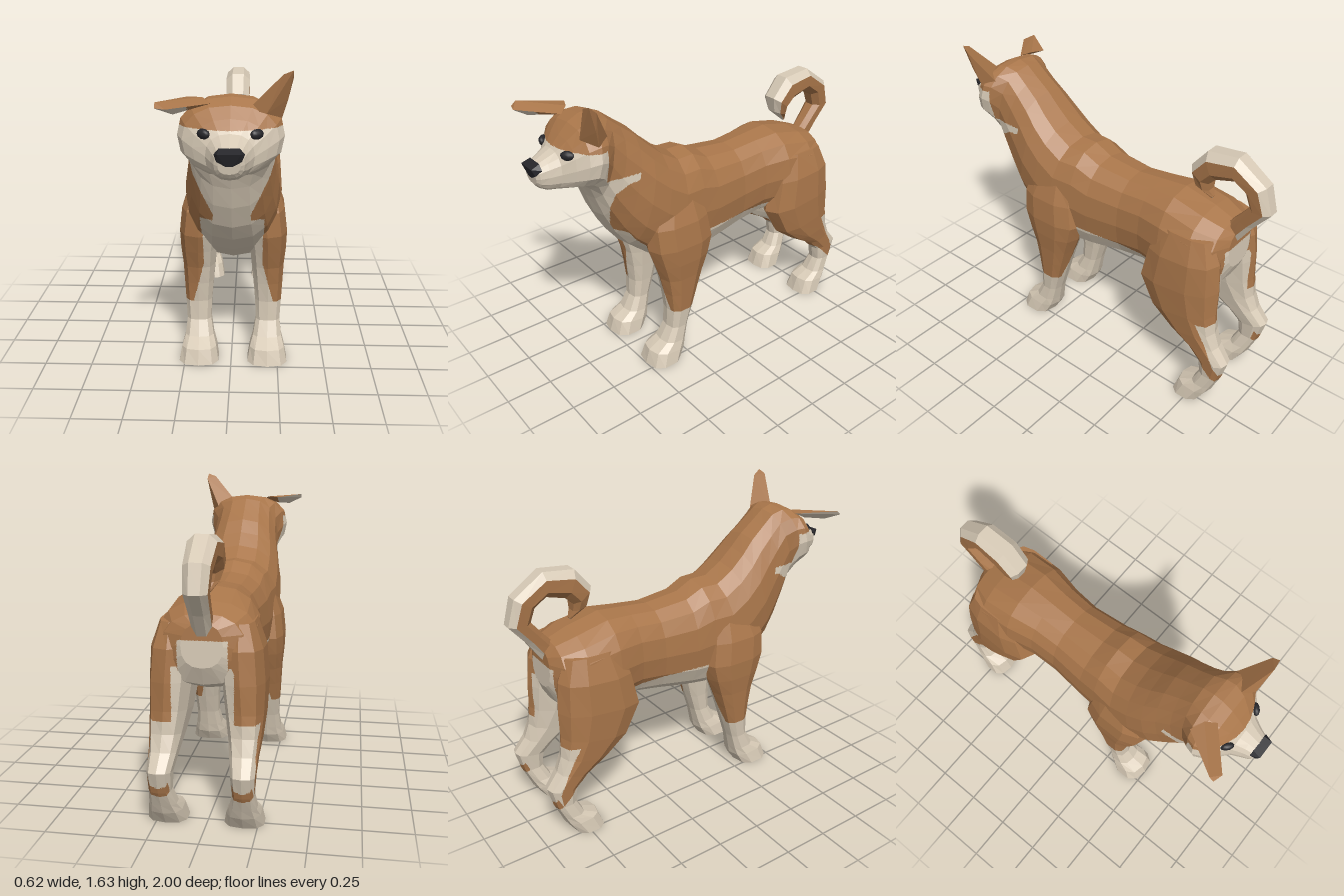
import * as THREE from 'three';
import { ConvexGeometry } from 'three/addons/geometries/ConvexGeometry.js';

const mat = (name, color) => Object.assign(new THREE.MeshStandardMaterial({ color }), { name });
const V = (x, y, z) => new THREE.Vector3(x, y, z);

export function createModel() {
  const brown = mat('brown coat', 0xa9764a);
  const cream = mat('cream coat', 0xd6c9b5);
  const black = mat('black', 0x26262a);
  const coat = [brown, cream];
  const model = new THREE.Group();
  model.name = 'dog';
  const dog = new THREE.Group();
  dog.name = 'dogParts';
  dog.position.x = 0.01;
  model.add(dog);

  // Faceted mesh from triangles; facets crossing a coat border are split until the border is neat
  function coatMesh(name, tris, isCream) {
    const out = [[], []];
    const emit = (a, b, c, tag, n, depth) => {
      const mid = a.clone().add(b).add(c).divideScalar(3);
      const k = isCream(mid, tag, n) ? 1 : 0;
      const mixed = [a, b, c].some(p => (isCream(p, tag, n) ? 1 : 0) !== k);
      if (!mixed || depth === 0) {
        for (const p of [a, b, c]) out[k].push(p.x, p.y, p.z);
        return;
      }
      const ab = a.clone().lerp(b, 0.5), bc = b.clone().lerp(c, 0.5), ca = c.clone().lerp(a, 0.5);
      emit(a, ab, ca, tag, n, depth - 1);
      emit(ab, b, bc, tag, n, depth - 1);
      emit(ca, bc, c, tag, n, depth - 1);
      emit(ab, bc, ca, tag, n, depth - 1);
    };
    for (const [a, b, c, tag] of tris) {
      const n = b.clone().sub(a).cross(c.clone().sub(a)).normalize();
      emit(a, b, c, tag, n, 4);
    }
    const geo = new THREE.BufferGeometry();
    geo.setAttribute('position', new THREE.Float32BufferAttribute([...out[0], ...out[1]], 3));
    geo.addGroup(0, out[0].length / 3, 0);
    geo.addGroup(out[0].length / 3, out[1].length / 3, 1);
    geo.computeVertexNormals();
    const mesh = new THREE.Mesh(geo, coat);
    mesh.name = name;
    dog.add(mesh);
  }

  // Closed skin over rings; a row is [z1, y1, z2, y2, centre x, half width]
  function loft(rows, sides, power = 0.85, turn = 0) {
    const soft = v => Math.sign(v) * Math.abs(v) ** power;
    const rings = rows.map(([z1, y1, z2, y2, xc, w]) => Array.from({ length: sides }, (_, j) => {
      const a = (j + turn) / sides * Math.PI * 2, u = soft(Math.cos(a)) / 2;
      return V(xc + w * soft(Math.sin(a)), (y1 + y2) / 2 + u * (y1 - y2), (z1 + z2) / 2 + u * (z1 - z2));
    }));
    const tris = [];
    for (let i = 0; i < rings.length - 1; i++) for (let j = 0; j < sides; j++) {
      const k = (j + 1) % sides, [p, q] = [rings[i], rings[i + 1]];
      tris.push([p[j], p[k], q[k], j], [p[j], q[k], q[j], j]);
    }
    for (const [ring, end] of [[rings[0], 0], [rings[rings.length - 1], 1]]) {
      const c = ring.reduce((s, p) => s.add(p), V(0, 0, 0)).divideScalar(sides);
      ring.forEach((p, j) => {
        const q = ring[(j + 1) % sides];
        tris.push(end ? [c, p, q, j] : [c, q, p, j]);
      });
    }
    // Turn the skin outward
    const volume = tris.reduce((s, [a, b, c]) => s + a.dot(b.clone().cross(c)), 0);
    return volume > 0 ? tris : tris.map(([a, b, c, t]) => [a, c, b, t]);
  }

  // Rump, trunk, neck, head and muzzle: top z, y, bottom z, y, half width
  const body = [
    [-0.83, 1.01, -0.84, 0.80, 0.10], [-0.79, 1.05, -0.80, 0.71, 0.20],
    [-0.68, 1.09, -0.68, 0.66, 0.255], [-0.50, 1.13, -0.50, 0.63, 0.245],
    [-0.35, 1.115, -0.35, 0.63, 0.21], [-0.20, 1.10, -0.20, 0.60, 0.20],
    [0.00, 1.12, 0.00, 0.56, 0.22], [0.10, 1.17, 0.13, 0.54, 0.23],
    [0.20, 1.17, 0.30, 0.56, 0.245], [0.30, 1.23, 0.42, 0.645, 0.245],
    [0.38, 1.30, 0.53, 0.74, 0.235], [0.45, 1.37, 0.60, 0.83, 0.215],
    [0.53, 1.43, 0.66, 0.95, 0.20], [0.60, 1.485, 0.70, 1.06, 0.195],
    [0.66, 1.505, 0.73, 1.13, 0.23], [0.71, 1.50, 0.76, 1.16, 0.245],
    [0.77, 1.47, 0.80, 1.165, 0.22], [0.82, 1.42, 0.84, 1.165, 0.17],
    [0.87, 1.365, 0.88, 1.165, 0.11], [0.92, 1.34, 0.925, 1.17, 0.085],
    [0.97, 1.315, 0.96, 1.19, 0.068], [0.985, 1.29, 0.975, 1.21, 0.05],
  ].map(([a, b, c, d, w]) => [a, b, c, d, 0, w]);
  coatMesh('bodyAndHead', loft(body, 16), p => {
    const x = Math.abs(p.x);
    if (p.z > 0.69 && p.y > 1.1) return p.y < 1.375;
    if (p.z > 0.45 && p.y < 1.2 && p.y > 0.87) return x < 0.075 + (p.y - 0.87) * 0.45;
    if (p.z > 0.3 && p.y <= 0.87) return x < 0.16 || p.y < 0.65;
    if (p.z < -0.79) return x < 0.12 && p.y < 0.93;
    return p.y < 0.73 && p.z < 0.45;
  });

  // Legs: front z, y, back z, y, inner x, outer x
  const frontLeg = [
    [0.40, 0.98, 0.12, 0.98, 0.10, 0.225], [0.46, 0.85, 0.08, 0.85, 0.06, 0.272],
    [0.455, 0.72, 0.06, 0.72, 0.07, 0.287], [0.42, 0.62, 0.09, 0.62, 0.085, 0.283],
    [0.385, 0.52, 0.13, 0.52, 0.095, 0.273], [0.365, 0.42, 0.165, 0.42, 0.105, 0.268],
    [0.35, 0.31, 0.20, 0.31, 0.115, 0.262], [0.355, 0.20, 0.235, 0.20, 0.12, 0.255],
    [0.40, 0.12, 0.255, 0.11, 0.105, 0.265], [0.475, 0.08, 0.265, 0.06, 0.088, 0.28],
    [0.50, 0, 0.30, 0, 0.075, 0.295],
  ];
  const hindLeg = [
    [-0.48, 1.0, -0.78, 1.0, 0.10, 0.23], [-0.42, 0.85, -0.83, 0.88, 0.06, 0.275],
    [-0.38, 0.67, -0.845, 0.72, 0.07, 0.287], [-0.47, 0.51, -0.845, 0.58, 0.09, 0.283],
    [-0.60, 0.415, -0.855, 0.47, 0.11, 0.275], [-0.72, 0.345, -0.885, 0.39, 0.125, 0.265],
    [-0.785, 0.28, -0.95, 0.31, 0.14, 0.26], [-0.80, 0.20, -0.92, 0.20, 0.145, 0.255],
    [-0.76, 0.12, -0.885, 0.12, 0.125, 0.265], [-0.68, 0.085, -0.865, 0.07, 0.105, 0.28],
    [-0.65, 0, -0.82, 0, 0.09, 0.292],
  ];
  const frontCream = p => p.y < 0.31 || Math.abs(p.x) < 0.155 + Math.max(0, 0.55 - p.y) * 0.25;
  const hindCream = p => p.y < Math.min(0.31, 1.09 + p.z)
    || (Math.abs(p.x) < 0.15 && p.y < 0.8)
    || (p.y < 0.53 && p.z < -0.78 - (0.52 - p.y) * 0.5);
  for (const [side, s] of [['left', 1], ['right', -1]]) {
    const place = rows => rows.map(([a, b, c, d, i, o]) => [a, b, c, d, s * (i + o) / 2, (o - i) / 2]);
    coatMesh(side + 'FrontLeg', loft(place(frontLeg), 10, 0.75), frontCream);
    coatMesh(side + 'HindLeg', loft(place(hindLeg), 10, 0.75), hindCream);

    // Eye
    const eye = new THREE.Mesh(new THREE.SphereGeometry(1, 10, 6), black);
    eye.name = side + 'Eye';
    eye.scale.set(0.036, 0.024, 0.02);
    eye.position.set(s * 0.118, 1.358, 0.845);
    eye.rotation.y = s * 0.7;
    dog.add(eye);
  }

  // Curled tail, cream along the outside: outer z, y, inner z, y, half width
  const tail = [
    [-0.83, 0.94, -0.75, 1.02, 0.05], [-0.91, 1.06, -0.82, 1.10, 0.055],
    [-1.0, 1.17, -0.875, 1.17, 0.06], [-0.96, 1.31, -0.85, 1.24, 0.068],
    [-0.80, 1.42, -0.79, 1.28, 0.075], [-0.63, 1.40, -0.69, 1.25, 0.08],
    [-0.54, 1.29, -0.65, 1.21, 0.075], [-0.56, 1.20, -0.65, 1.17, 0.055],
    [-0.655, 1.12, -0.665, 1.135, 0.012],
  ].map(([a, b, c, d, w]) => [a, b, c, d, 0, w]);
  coatMesh('tail', loft(tail, 8, 0.85, 0.5), (p, j) => j === 7 || j === 0 || j === 6);

  // Ears: one upright, one folded outward with a pale underside
  const hull = pts => new ConvexGeometry(pts.map(p => V(...p)));
  function ear(name, pts, isCream) {
    const pos = hull(pts).attributes.position, tris = [];
    const at = i => V(0, 0, 0).fromBufferAttribute(pos, i);
    for (let i = 0; i < pos.count; i += 3) tris.push([at(i), at(i + 1), at(i + 2), 0]);
    coatMesh(name, tris, isCream);
  }
  ear('uprightEar', [
    [0.08, 1.45, 0.74], [0.18, 1.42, 0.66], [0.23, 1.41, 0.74], [0.16, 1.44, 0.80],
    [0.23, 1.615, 0.81], [0.275, 1.632, 0.805], [0.278, 1.60, 0.77], [0.255, 1.50, 0.765],
  ], () => false);
  ear('foldedEar', [
    [-0.09, 1.475, 0.75], [-0.13, 1.495, 0.70], [-0.20, 1.492, 0.67], [-0.19, 1.455, 0.75],
    [-0.325, 1.502, 0.87], [-0.325, 1.48, 0.895], [-0.275, 1.478, 0.91], [-0.25, 1.445, 0.85],
  ], (p, j, n) => n.y < -0.5 && p.x < -0.19);

  // Nose
  const nosePoints = [];
  for (const s of [1, -1]) nosePoints.push(
    [s * 0.068, 1.295, 0.955], [s * 0.045, 1.322, 0.955], [s * 0.05, 1.305, 1.0],
    [s * 0.055, 1.27, 0.985], [s * 0.015, 1.248, 0.985], [s * 0.04, 1.26, 0.95]);
  const nose = new THREE.Mesh(hull(nosePoints), black);
  nose.name = 'nose';
  dog.add(nose);
  return model;
}
